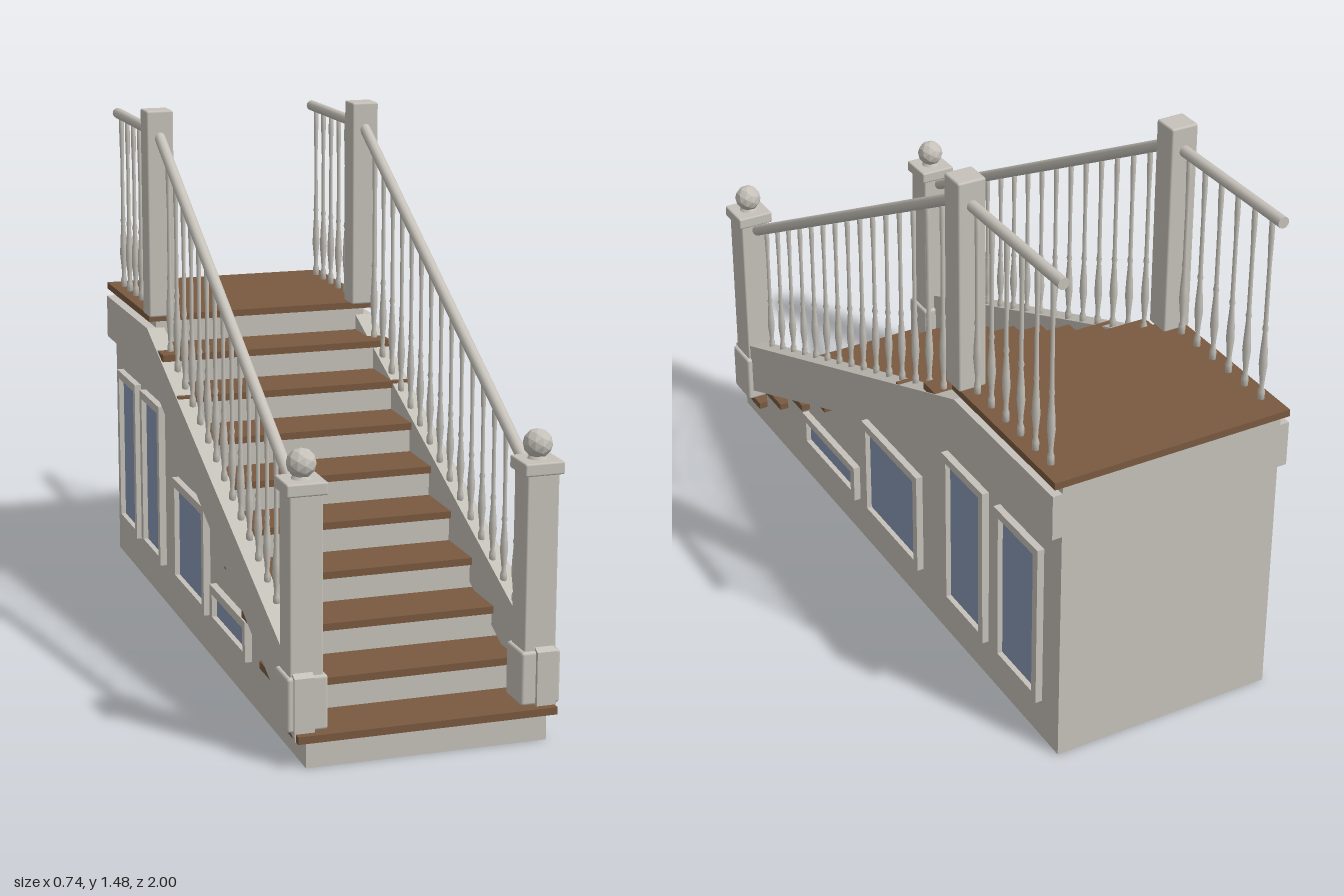
import * as THREE from 'three';
import { RoundedBoxGeometry } from 'three/addons/geometries/RoundedBoxGeometry.js';

const STEPS = 10, RISE = 0.0868, RUN = 0.1628, THICK = 0.02;
const RAIL_X = 0.315, RAIL_R = 0.016;

export function createModel() {
  const paint = new THREE.MeshStandardMaterial({ color: 0xc6c2ba });
  paint.name = 'warm grey paint';
  const stone = new THREE.MeshStandardMaterial({ color: 0xc6c2ba, flatShading: true });
  stone.name = 'faceted grey paint';
  const wood = new THREE.MeshStandardMaterial({ color: 0x7a5a40 });
  wood.name = 'brown wood';
  const glass = new THREE.MeshStandardMaterial({ color: 0x8b99b5 });
  glass.name = 'blue panel';

  const model = new THREE.Group();
  model.name = 'staircase';

  function add(parent, name, geometry, material, x = 0, y = 0, z = 0) {
    const mesh = new THREE.Mesh(geometry, material);
    mesh.name = name;
    mesh.position.set(x, y, z);
    parent.add(mesh);
    return mesh;
  }

  // Side profile given as [z, y] points, extruded along x from x0 to x1
  function sideExtrude(points, x0, x1, hole) {
    const toVectors = (list) => list.map(([z, y]) => new THREE.Vector2(-z, y));
    const shape = new THREE.Shape(toVectors(points));
    if (hole) shape.holes.push(new THREE.Path(toVectors(hole)));
    const geometry = new THREE.ExtrudeGeometry(shape, { depth: x1 - x0, bevelEnabled: false });
    return geometry.rotateY(Math.PI / 2).translate(x0, 0, 0);
  }
  const rect = (z0, z1, y0, y1) => [[z0, y0], [z1, y0], [z1, y1], [z0, y1]];

  // Round bar between two points
  function bar(parent, name, from, to, radius) {
    const dir = to.clone().sub(from);
    const mesh = add(parent, name, new THREE.CylinderGeometry(radius, radius, dir.length(), 12), paint);
    mesh.position.copy(from).add(to).multiplyScalar(0.5);
    mesh.quaternion.setFromUnitVectors(new THREE.Vector3(0, 1, 0), dir.normalize());
  }

  // Stepped body
  const profile = [[-0.995, 0], [0.985, 0]];
  for (let i = 0; i < STEPS; i++) {
    const top = 0.071 + i * RISE;
    const front = 0.985 - i * RUN;
    profile.push([front, top], [i < STEPS - 1 ? front - RUN : -0.995, top]);
  }
  add(model, 'steppedBody', sideExtrude(profile, -0.325, 0.325), paint);

  // Treads, the last one being the landing
  for (let i = 0; i < STEPS; i++) {
    const front = 1 - i * RUN;
    const last = i === STEPS - 1;
    const depth = last ? front + 1 : 0.175;
    add(model, last ? 'landing' : 'tread', new THREE.BoxGeometry(0.7, THICK, depth), wood,
      0, 0.081 + i * RISE, front - depth / 2);
  }

  // Turned baluster of unit height
  const turned = [
    [0, 0], [0.0095, 0], [0.0095, 0.05], [0.006, 0.07], [0.0075, 0.12], [0.0115, 0.2], [0.01, 0.27],
    [0.006, 0.38], [0.0085, 0.4], [0.006, 0.42], [0.0055, 0.75], [0.0075, 0.9], [0.0075, 1], [0, 1],
  ].map(([r, y]) => new THREE.Vector2(r, y));
  const balusterGeometry = new THREE.LatheGeometry(turned, 8);

  const railY = (z) => 0.69 + (0.855 - z) * 0.548;
  const stringerY = (z) => 0.285 + (0.86 - z) * 0.407;

  // Panels as [z front, z back, y bottom, y top]
  const panels = [
    [0.51, 0.16, 0.12, 0.233],
    [0.10, -0.24, 0.12, 0.435],
    [-0.39, -0.62, 0.12, 0.61],
    [-0.68, -0.91, 0.12, 0.61],
  ];

  for (const side of [1, -1]) {
    const half = new THREE.Group();
    half.name = side > 0 ? 'leftSide' : 'rightSide';
    model.add(half);
    const x = side * RAIL_X;
    const span = (inner, outer) => (side > 0 ? [inner, outer] : [-outer, -inner]);

    // Sloping stringer that levels off under the landing
    add(half, 'stringer', sideExtrude([
      [0.98, 0.07], [-0.48, 0.70], [-0.995, 0.70], [-0.995, 0.83], [-0.48, 0.83], [0.98, 0.236],
    ], ...span(0.30, 0.353)), paint);

    // Framed panels
    const border = 0.024;
    for (const [z0, z1, y0, y1] of panels) {
      const inner = [z0 - border, z1 + border, y0 + border, y1 - border];
      add(half, 'panelFrame',
        sideExtrude(rect(z0, z1, y0, y1), ...span(0.32, 0.345), rect(...inner)), paint);
      add(half, 'panelPane', sideExtrude(rect(...inner), ...span(0.322, 0.33)), glass);
    }

    // Lower newel post with base, cap and ball
    const newel = new THREE.Group();
    newel.name = 'lowerNewel';
    newel.position.set(x, 0, 0.915);
    half.add(newel);
    add(newel, 'newelBase', new RoundedBoxGeometry(0.108, 0.145, 0.108, 2, 0.008), paint, 0, 0.163, 0);
    add(newel, 'newelShaft', new RoundedBoxGeometry(0.088, 0.49, 0.088, 2, 0.005), paint, 0, 0.46, 0);
    add(newel, 'newelCap', new RoundedBoxGeometry(0.108, 0.034, 0.108, 2, 0.005), paint, 0, 0.719, 0);
    add(newel, 'newelNeck', new THREE.CylinderGeometry(0.02, 0.028, 0.012, 12), paint, 0, 0.74, 0);
    add(newel, 'newelBall', new THREE.IcosahedronGeometry(0.039, 1), stone, 0, 0.775, 0);

    // Upper newel post
    add(half, 'upperNewel', new RoundedBoxGeometry(0.08, 0.61, 0.076, 2, 0.006), paint, x, 1.175, -0.477);

    // Handrails
    bar(half, 'slopingHandrail', new THREE.Vector3(x, railY(0.855), 0.855),
      new THREE.Vector3(x, railY(-0.45), -0.45), RAIL_R);
    bar(half, 'landingHandrail', new THREE.Vector3(x, 1.41, -0.49),
      new THREE.Vector3(x, 1.41, -0.965), RAIL_R);

    // Balusters along the slope and the landing
    for (let i = 0; i < 15; i++) {
      const z = 0.784 - i * 0.0812;
      const y = stringerY(z) - 0.008;
      add(half, 'slopeBaluster', balusterGeometry, paint, x, y, z).scale.y = railY(z) - y;
    }
    for (let i = 0; i < 6; i++) {
      add(half, 'landingBaluster', balusterGeometry, paint, x, 0.87, -0.54 - i * 0.0756).scale.y = 0.53;
    }
  }
  return model;
}
